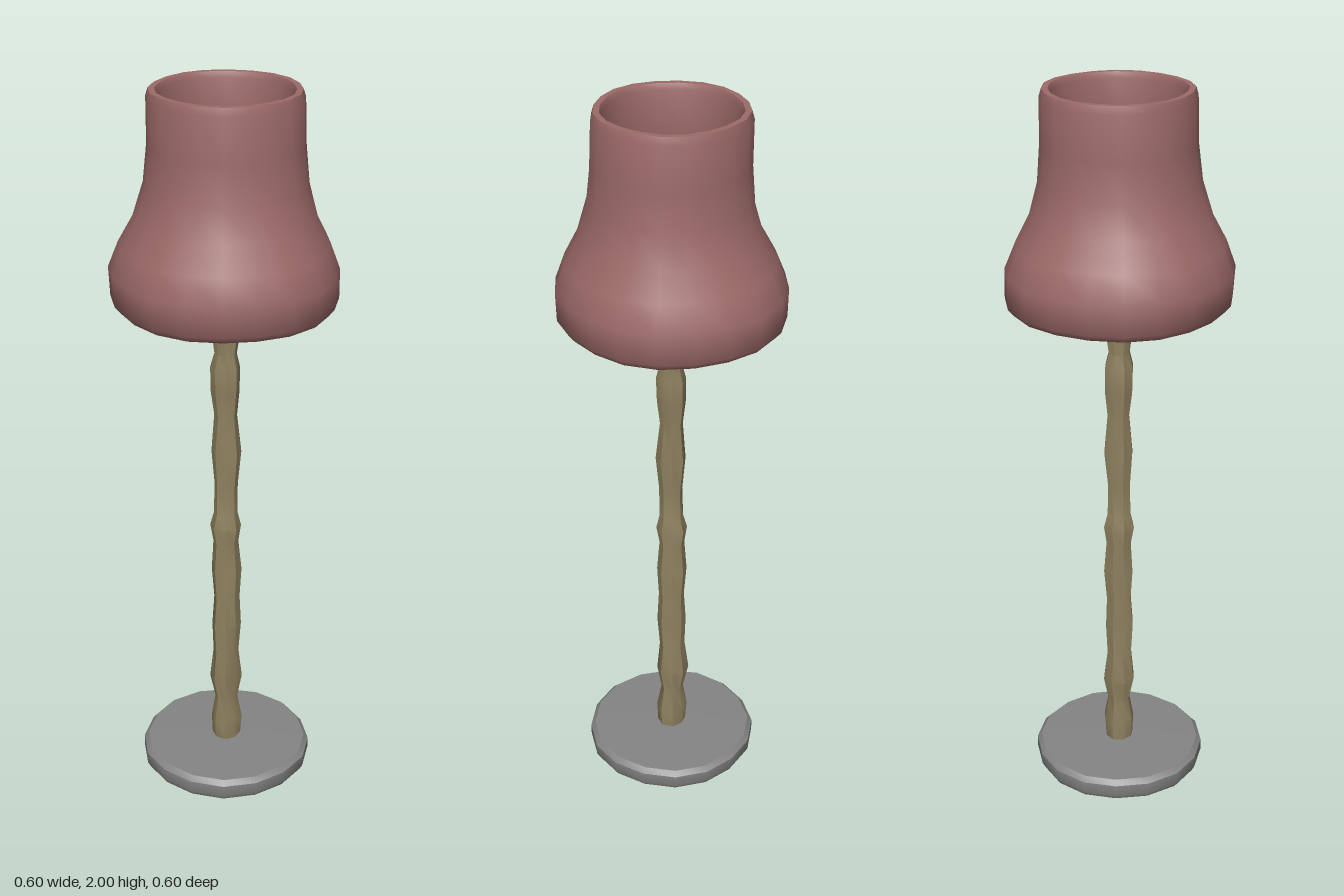
import * as THREE from 'three';
import { toCreasedNormals } from 'three/addons/utils/BufferGeometryUtils.js';

const RED = 0x9c6a68, WOOD = 0x8f8260, GREY = 0x858585;

// Slight hand-carved unevenness, driven by position so that seams stay closed
function carve(geometry, amount, freq) {
  const p = geometry.attributes.position;
  for (let i = 0; i < p.count; i++) {
    const x = p.getX(i), y = p.getY(i), z = p.getZ(i);
    const a = Math.atan2(z, x);
    const k = 1 + amount * Math.sin(3 * a + y * freq) * Math.cos(2 * a - y * freq * 0.6);
    p.setX(i, x * k);
    p.setZ(i, z * k);
  }
  return geometry;
}

function part(name, geometry, color, crease = 0.7) {
  const material = new THREE.MeshStandardMaterial({ color });
  const mesh = new THREE.Mesh(toCreasedNormals(geometry, crease), material);
  mesh.name = name;
  return mesh;
}

// Turned part from [radius, height] pairs
function turned(name, profile, sides, color, amount, freq, crease) {
  const points = profile.map(([r, y]) => new THREE.Vector2(r, y));
  return part(name, carve(new THREE.LatheGeometry(points, sides), amount, freq), color, crease);
}

export function createModel() {
  const lamp = new THREE.Group();
  lamp.name = 'floorLamp';

  // Round base, slightly domed
  lamp.add(turned('base', [
    [0, 0], [0.235, 0.005], [0.243, 0.02], [0.243, 0.052], [0.23, 0.066], [0, 0.072],
  ], 16, GREY, 0.015, 5));

  // Knobbly pole: alternating swells and waists
  lamp.add(turned('pole', [
    [0, 0.06], [0.04, 0.06], [0.044, 0.13], [0.032, 0.2], [0.046, 0.27], [0.036, 0.36],
    [0.041, 0.45], [0.036, 0.54], [0.042, 0.63], [0.035, 0.72], [0.043, 0.77], [0.033, 0.81],
    [0.032, 0.9], [0.041, 1.0], [0.031, 1.11], [0.039, 1.18], [0.04, 1.25], [0.03, 1.29],
    [0.041, 1.37], [0.034, 1.45], [0, 1.46],
  ], 8, WOOD, 0.08, 9));

  // Collar and socket under the bulb
  lamp.add(turned('collar', [
    [0, 1.44], [0.045, 1.44], [0.078, 1.465], [0.078, 1.485], [0.04, 1.505], [0, 1.505],
  ], 9, WOOD, 0.03, 4));
  lamp.add(turned('socket', [
    [0, 1.49], [0.032, 1.5], [0.03, 1.54], [0.046, 1.56], [0.046, 1.585], [0, 1.59],
  ], 8, WOOD, 0.04, 9));

  // Bulb with a clip bent over it
  const bulb = part('bulb', carve(new THREE.SphereGeometry(0.06, 9, 6), 0.06, 30), GREY, 0.3);
  bulb.position.y = 1.63;
  const clip = part('bulbClip', new THREE.TorusGeometry(0.077, 0.013, 4, 8, Math.PI), GREY, 0.3);
  clip.position.y = 1.62;
  lamp.add(bulb, clip);

  // Two arms carrying the shade
  for (const side of [-1, 1]) {
    const arm = part(side > 0 ? 'leftArm' : 'rightArm', new THREE.BoxGeometry(0.23, 0.016, 0.032), RED);
    arm.position.set(side * 0.165, 1.475, 0);
    lamp.add(arm);
  }

  // Bell-shaped shade: outer wall up, rim over, inner wall down, closed at the lower rim
  lamp.add(turned('shade', [
    [0.285, 1.432], [0.3, 1.45], [0.302, 1.53], [0.275, 1.6], [0.238, 1.67], [0.212, 1.76],
    [0.202, 1.86], [0.2, 1.98], [0.194, 2], [0.178, 2], [0.172, 1.985], [0.178, 1.86],
    [0.188, 1.76], [0.214, 1.67], [0.25, 1.6], [0.278, 1.53], [0.276, 1.45], [0.285, 1.432],
  ], 20, RED, 0.022, 7, 0.8));

  return lamp;
}
